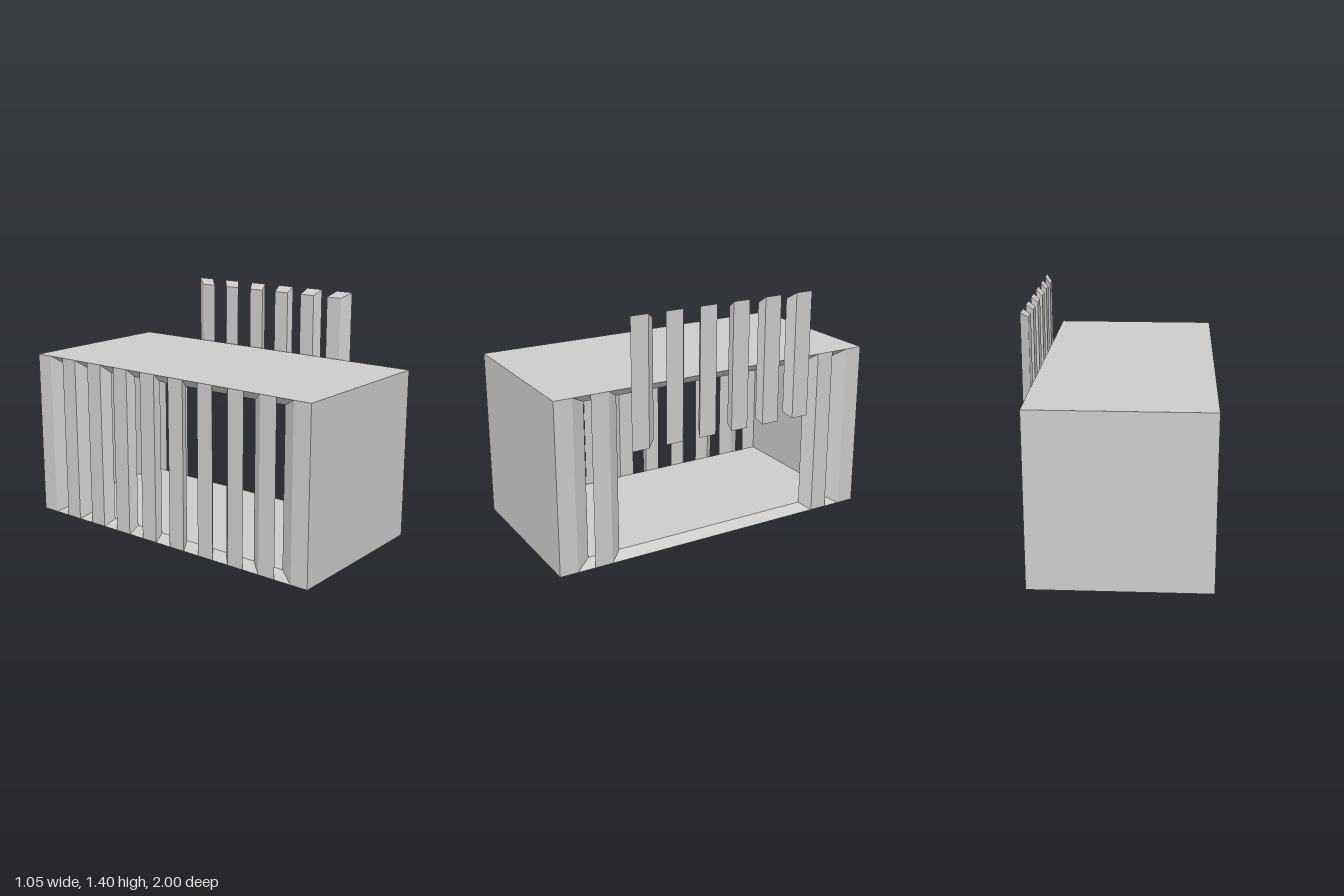
import * as THREE from 'three';

const HALF = { x: 0.5, y: 0.5, z: 1 }; // outer half sizes of the crate
const K = 0.905;                       // cavity size relative to the outside
const SLATS = 10;
const STEP = 2 / (2 * SLATS - 1);      // slats and gaps are equally wide

const material = new THREE.MeshStandardMaterial({ color: 0xcccccc, flatShading: true });

// A piece of the crate shell on one side, z0..z1 long, mitred towards the cavity.
function shellPanel(name, axis, sign, z0 = -HALF.z, z1 = HALF.z) {
  const geometry = new THREE.BoxGeometry(1, 1, 1);
  const pos = geometry.attributes.position;
  const v = new THREE.Vector3();
  for (let i = 0; i < pos.count; i++) {
    v.fromBufferAttribute(pos, i);
    const inner = v[axis] * sign < 0;
    v.set(v.x * 2 * HALF.x, v.y * 2 * HALF.y, v.z < 0 ? z0 : z1);
    v[axis] = sign * HALF[axis];
    if (inner) v.multiplyScalar(K);
    pos.setXYZ(i, v.x, v.y, v.z);
  }
  geometry.computeVertexNormals();
  const mesh = new THREE.Mesh(geometry, material);
  mesh.name = name;
  return mesh;
}

function slat(name, sign, index) {
  const z0 = -HALF.z + 2 * index * STEP;
  return shellPanel(name, 'x', sign, z0, z0 + STEP);
}

export function createModel() {
  const model = new THREE.Group();
  model.name = 'slattedCrate';

  // Solid sides of the crate
  const crate = new THREE.Group();
  crate.name = 'crate';
  crate.position.set(-0.025, 0.5, 0);
  crate.add(
    shellPanel('floor', 'y', -1),
    shellPanel('roof', 'y', 1),
    shellPanel('frontWall', 'z', 1),
    shellPanel('backWall', 'z', -1),
  );

  // Raised gate, slightly smaller than the slats it was lifted from
  const gate = new THREE.Group();
  gate.name = 'raisedGate';
  gate.scale.set(0.75, 0.745, 1);
  gate.position.set(0.524 - 0.5 * 0.75, 1.028, 0);

  // Full row of slats on the right; the left keeps two at each end
  for (let i = 0; i < SLATS; i++) {
    crate.add(slat('rightSlat', -1, i));
    if (i < 2 || i >= SLATS - 2) crate.add(slat('leftSlat', 1, i));
    else gate.add(slat('gateSlat', 1, i));
  }

  model.add(crate, gate);
  return model;
}
